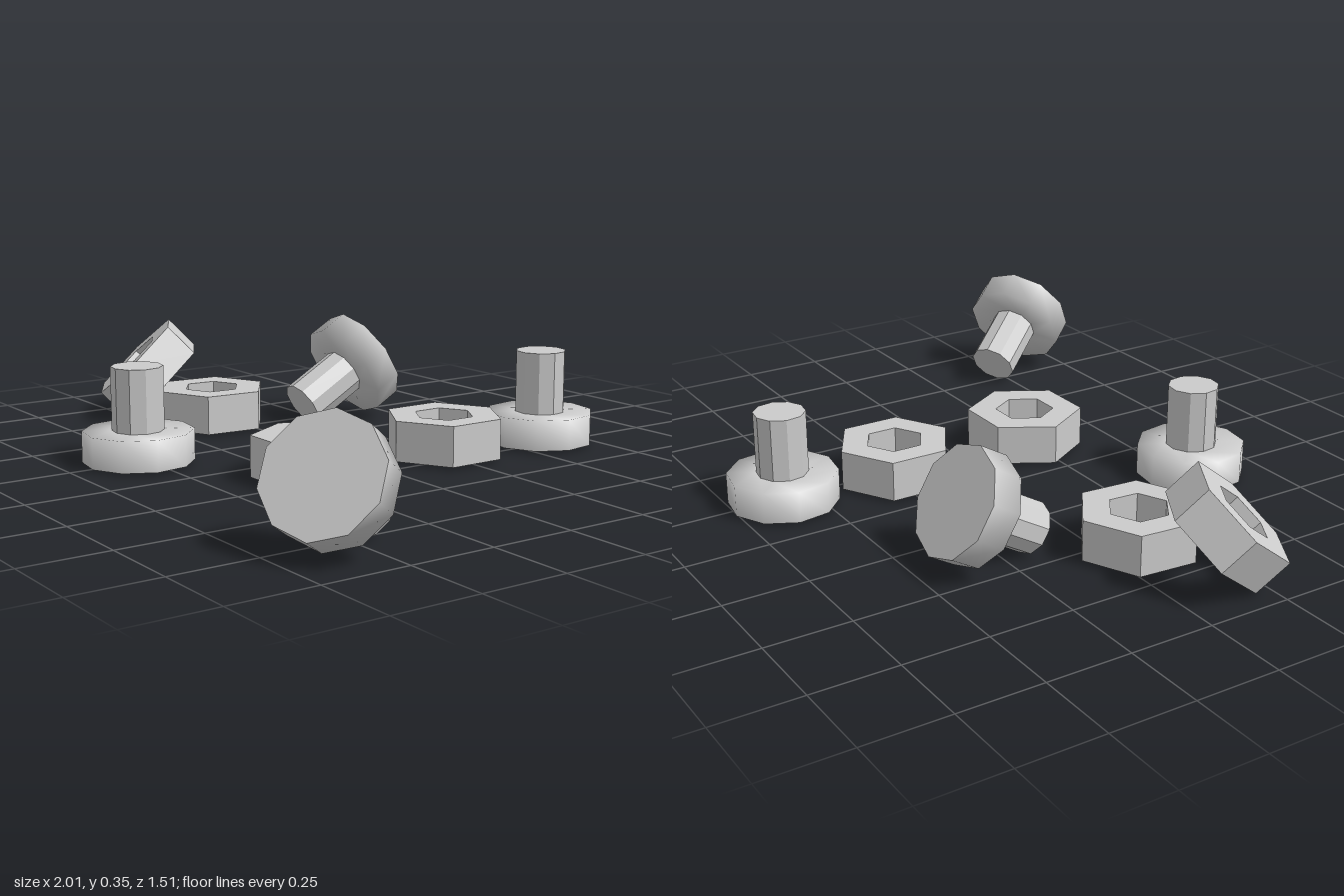
import * as THREE from 'three';

const SIDES = 10;
const HEAD_R = 0.163, HEAD_H = 0.093, SHAFT_R = 0.076, LENGTH = 0.28;
const NUT_R = 0.177, HOLE_R = 0.09, NUT_H = 0.12;
const rad = THREE.MathUtils.degToRad;

const smooth = new THREE.MeshStandardMaterial({ color: 0xcccccc });
const flat = new THREE.MeshStandardMaterial({ color: 0xcccccc, flatShading: true });

function addMesh(parent, name, geometry, material) {
  const mesh = new THREE.Mesh(geometry, material);
  mesh.name = name;
  parent.add(mesh);
  return mesh;
}

// Bolt standing on its head, shaft pointing up
function createBolt() {
  const bolt = new THREE.Group();
  bolt.name = 'bolt';

  // Rim and shoulder share softened normals
  const profile = [[HEAD_R, 0], [HEAD_R, HEAD_H], [SHAFT_R, HEAD_H]]
    .map(([r, y]) => new THREE.Vector2(r, y));
  addMesh(bolt, 'boltHead', new THREE.LatheGeometry(profile, SIDES), smooth);

  const base = new THREE.CircleGeometry(HEAD_R, SIDES);
  base.rotateX(Math.PI / 2).rotateY(Math.PI / 2);
  addMesh(bolt, 'boltHeadBase', base, flat);

  const shaft = new THREE.CylinderGeometry(SHAFT_R, SHAFT_R, LENGTH - HEAD_H, SIDES);
  shaft.translate(0, (LENGTH + HEAD_H) / 2, 0);
  addMesh(bolt, 'boltShaft', shaft, flat);
  return bolt;
}

function hexagon(radius) {
  return Array.from({ length: 6 }, (_, i) => new THREE.Vector2(
    radius * Math.cos(i * Math.PI / 3), radius * Math.sin(i * Math.PI / 3)));
}

// Hexagonal nut with a hexagonal hole, centred on its own middle
function createNut() {
  const shape = new THREE.Shape(hexagon(NUT_R));
  shape.holes.push(new THREE.Path(hexagon(HOLE_R).reverse()));
  const geometry = new THREE.ExtrudeGeometry(shape, { depth: NUT_H, bevelEnabled: false });
  geometry.translate(0, 0, -NUT_H / 2).rotateX(-Math.PI / 2);
  const mesh = new THREE.Mesh(geometry, flat);
  mesh.name = 'nut';
  return mesh;
}

export function createModel() {
  const model = new THREE.Group();
  model.name = 'nutsAndBolts';

  const place = (part, name, [x, y, z], tilt, yaw) => {
    part.name = name;
    part.position.set(x, y, z);
    part.rotation.set(rad(tilt), rad(yaw), 0, 'YXZ');
    model.add(part);
  };

  // Two bolts upright, two tipped over onto their shafts
  place(createBolt(), 'frontUprightBolt', [-0.24, 0, 0.534], 0, 9);
  place(createBolt(), 'backUprightBolt', [0.226, 0, -0.6], 0, 9);
  place(createBolt(), 'backTippedBolt', [-0.407, 0.198, -0.395], 120, 0);
  place(createBolt(), 'leftTippedBolt', [0.856, 0.198, 0.648], 120, 210);

  // Three nuts lying flat, one leaning
  place(createNut(), 'backNut', [0.202, NUT_H / 2, -0.243], 0, 30);
  place(createNut(), 'frontNut', [0.202, NUT_H / 2, 0.222], 0, 0);
  place(createNut(), 'rightNut', [-0.565, NUT_H / 2, 0.093], 0, 25.6);
  place(createNut(), 'leaningNut', [-0.832, 0.15, 0.177], 44, -30);

  return model;
}
